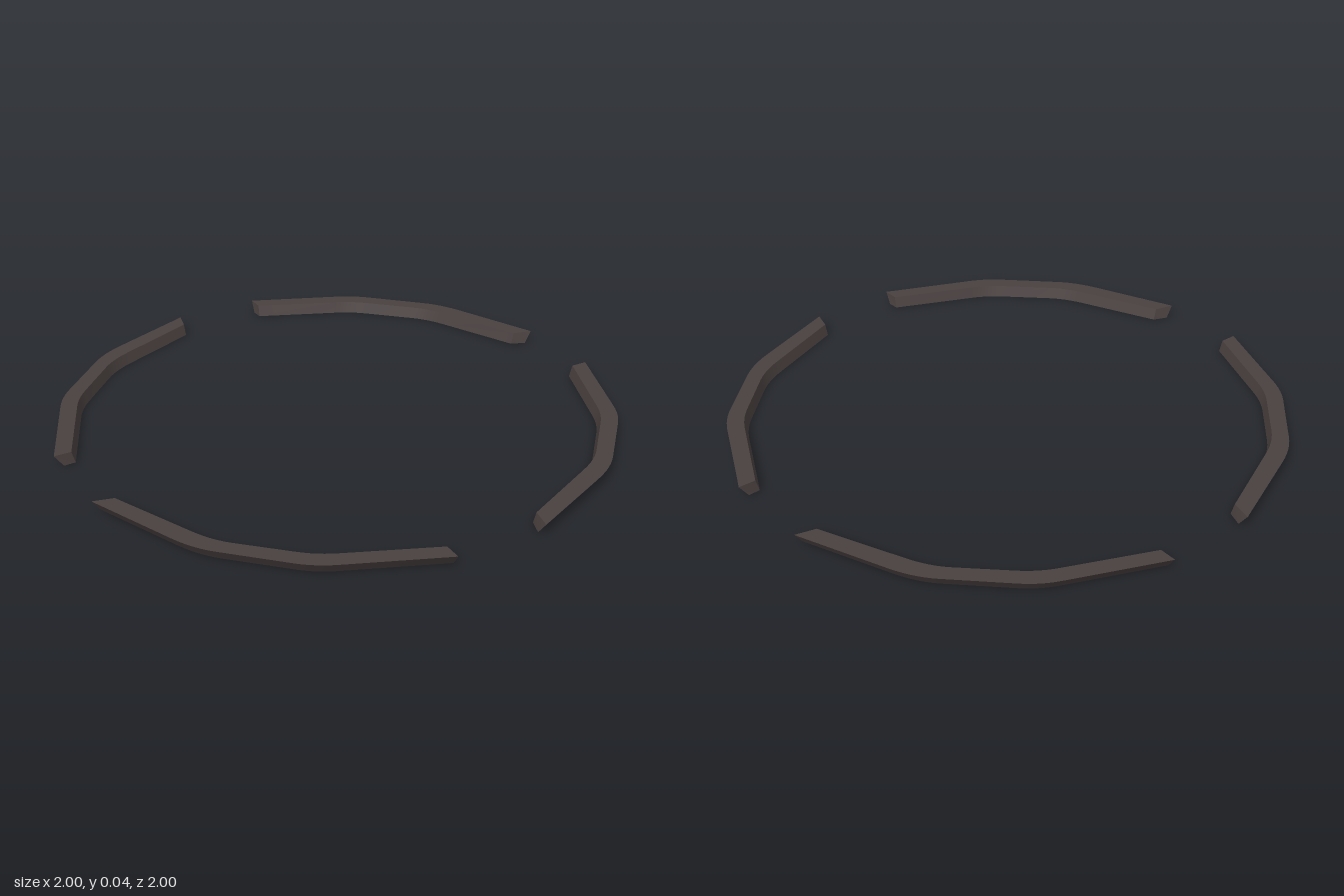
import * as THREE from 'three';
import { toCreasedNormals } from 'three/addons/utils/BufferGeometryUtils.js';

const HEIGHT = 0.043;

// Path in plan (x, z): straight runs joined by two rounded bends
function planPath(start, bends, end) {
  const v = ([x, z]) => new THREE.Vector2(x, z);
  const points = [v(start)];
  for (const [a, corner, b] of bends) {
    points.push(...new THREE.QuadraticBezierCurve(v(a), v(corner), v(b)).getPoints(6));
  }
  points.push(v(end));
  return points;
}

// Slanted four-sided section swept between the outer and inner paths
function barGeometry() {
  const outer = planPath([-0.42, -0.928], [
    [[-0.065, -0.994], [0, -1.006], [0.065, -0.994]],
    [[0.3, -0.949], [0.375, -0.935], [0.45, -0.885]],
  ], [0.738, -0.693]);
  const inner = planPath([-0.382, -0.866], [
    [[-0.065, -0.922], [0, -0.934], [0.065, -0.922]],
    [[0.255, -0.888], [0.322, -0.876], [0.39, -0.832]],
  ], [0.66, -0.66]);

  const rings = outer.map((o, i) => {
    const n = inner[i];
    return [
      [o.x, HEIGHT, o.y],
      [o.x * 0.97, 0, o.y * 0.97],
      [n.x, 0, n.y],
      [n.x * 1.012, HEIGHT, n.y * 1.012],
    ];
  });

  const positions = [];
  const quad = (a, b, c, d) => positions.push(...a, ...b, ...c, ...a, ...c, ...d);
  for (let i = 0; i < rings.length - 1; i++) {
    const r = rings[i], s = rings[i + 1];
    for (let k = 0; k < 4; k++) {
      const m = (k + 1) % 4;
      quad(r[k], s[k], s[m], r[m]);
    }
  }
  // End caps
  quad(...rings[0]);
  quad(...[...rings[rings.length - 1]].reverse());

  const geometry = new THREE.BufferGeometry();
  geometry.setAttribute('position', new THREE.Float32BufferAttribute(positions, 3));
  return toCreasedNormals(geometry, 0.4);
}

export function createModel() {
  const group = new THREE.Group();
  group.name = 'segmentedRing';
  const material = new THREE.MeshStandardMaterial({ color: 0x4a4140 });
  material.name = 'darkBrown';

  // Four identical bars, a quarter turn apart
  const geometry = barGeometry();
  ['backBar', 'rightBar', 'frontBar', 'leftBar'].forEach((name, i) => {
    const bar = new THREE.Mesh(geometry, material);
    bar.name = name;
    bar.rotation.y = i * Math.PI / 2;
    group.add(bar);
  });
  return group;
}
